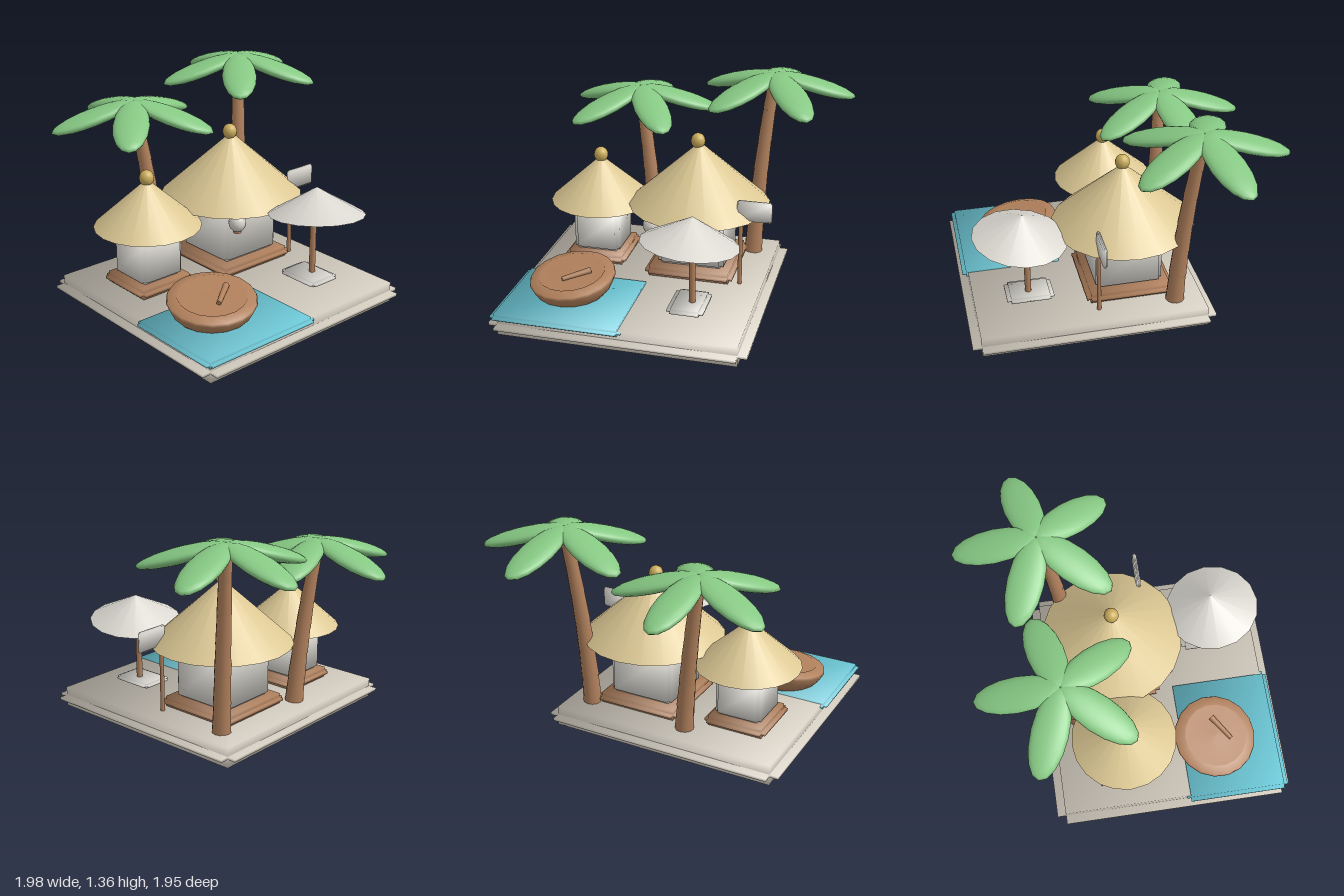
import * as THREE from 'three';

const material = (name, color) => {
  const m = new THREE.MeshStandardMaterial({ color });
  m.name = name;
  return m;
};
const V = (x, y, z) => new THREE.Vector3(x, y, z);

export function createModel() {
  const sand = material('sand', 0xd6cfc2);
  const white = material('plaster white', 0xdad7d0);
  const wood = material('wood', 0xb0805c);
  const thatch = material('thatch', 0xdcc894);
  const gold = material('finial gold', 0xcbad5c);
  const leaf = material('leaf green', 0x86c883);
  const water = material('water blue', 0x6fcbda);

  const model = new THREE.Group();
  model.name = 'beachVillage';

  const add = (parent, name, geometry, mat, x = 0, y = 0, z = 0) => {
    const mesh = new THREE.Mesh(geometry, mat);
    mesh.name = name;
    mesh.position.set(x, y, z);
    parent.add(mesh);
    return mesh;
  };

  // Box whose normals fan out from its corners for soft shading
  const softBox = (w, h, d) => {
    const g = new THREE.BoxGeometry(w, h, d);
    const p = g.attributes.position, n = g.attributes.normal, k = 1 / Math.sqrt(3);
    for (let i = 0; i < p.count; i++) {
      n.setXYZ(i, k * Math.sign(p.getX(i)), k * Math.sign(p.getY(i)), k * Math.sign(p.getZ(i)));
    }
    return g;
  };

  // Block with notched edges: three crossing boxes, standing on y
  const notchedBlock = (parent, name, mat, [w, h, d], r, x, y, z) => {
    const g = new THREE.Group();
    g.name = name;
    g.position.set(x, y + h / 2, z);
    const band = Math.max(h - 2 * r, 0.012);
    add(g, name + 'Core', softBox(w - 2 * r, h, d - 2 * r), mat);
    add(g, name + 'Wide', softBox(w, band, d - 2 * r), mat);
    add(g, name + 'Deep', softBox(w - 2 * r, band * 0.98, d), mat);
    parent.add(g);
    return g;
  };

  // Tapered round bar between two points
  const bar = (parent, name, mat, a, b, ra, rb, sides = 12) => {
    const dir = b.clone().sub(a);
    const mesh = add(parent, name, new THREE.CylinderGeometry(rb, ra, dir.length(), sides), mat);
    mesh.position.copy(a).lerp(b, 0.5);
    mesh.quaternion.setFromUnitVectors(V(0, 1, 0), dir.normalize());
    return mesh;
  };

  const ellipsoid = (rx, ry, rz) => new THREE.SphereGeometry(1, 16, 10).scale(rx, ry, rz);

  // Ground and pool
  notchedBlock(model, 'ground', sand, [1.59, 0.13, 1.55], 0.056, -0.203, 0, 0.203);
  notchedBlock(model, 'pool', water, [0.82, 0.044, 0.67], 0.024, -0.57, 0.1, 0.625);

  // Huts
  const hut = (name, x, z, o) => {
    const g = new THREE.Group();
    g.name = name;
    notchedBlock(g, 'platform', wood, [o.deck, 0.07, o.deck], 0.026, x, 0.128, z);
    notchedBlock(g, 'walls', white, [o.wall, o.wallTop - 0.19, o.wall], 0.024, x, 0.19, z);
    const h = o.apex - o.eave;
    add(g, 'roof', new THREE.ConeGeometry(o.radius, h, 20), thatch, x + o.shift, o.eave + h / 2, z);
    add(g, 'finial', ellipsoid(0.046, 0.05, 0.046), gold, x, o.apex + 0.005, z);
    model.add(g);
  };
  hut('largeHut', 0.062, -0.063,
    { deck: 0.57, wall: 0.43, wallTop: 0.585, radius: 0.456, eave: 0.565, apex: 0.98, shift: 0.012 });
  hut('smallHut', -0.592, -0.08,
    { deck: 0.41, wall: 0.305, wallTop: 0.472, radius: 0.333, eave: 0.518, apex: 0.82, shift: 0 });

  // Lantern under the eave of the large hut
  const lantern = new THREE.Group();
  lantern.name = 'lantern';
  add(lantern, 'lanternGlobe', ellipsoid(0.055, 0.06, 0.055), white, -0.158, 0.52, 0.258);
  add(lantern, 'lanternCap', new THREE.CylinderGeometry(0.026, 0.026, 0.02, 12), wood, -0.158, 0.464, 0.258);
  model.add(lantern);

  // Palms: stacked trunk segments and five drooping fronds
  const palm = (name, base, mid, top, crown) => {
    const g = new THREE.Group();
    g.name = name;
    const path = new THREE.QuadraticBezierCurve3(base, mid, top);
    const count = 6;
    for (let i = 0; i < count; i++) {
      const r = 0.06 - 0.022 * (i / count);
      bar(g, 'trunkSegment', wood, path.getPoint(i / count), path.getPoint((i + 1) / count), r, r * 0.88);
    }
    for (let i = 0; i < 5; i++) {
      const geo = ellipsoid(0.278, 0.046, 0.113).translate(0.27, 0, 0);
      const frond = add(g, 'frond', geo, leaf, crown.x, crown.y, crown.z);
      frond.rotation.set(0, -THREE.MathUtils.degToRad(58 + 72 * i), -0.29);
    }
    model.add(g);
  };
  palm('leftPalm', V(-0.3, 0.13, -0.36), V(-0.33, 0.62, -0.38), V(-0.42, 1.16, -0.425), V(-0.42, 1.195, -0.425));
  palm('rightPalm', V(0.385, 0.13, -0.335), V(0.4, 0.7, -0.36), V(0.472, 1.31, -0.445), V(0.475, 1.342, -0.448));

  // Round boat, tipped a little on the water
  const boat = new THREE.Group();
  boat.name = 'boat';
  boat.position.set(-0.594, 0.243, 0.527);
  boat.rotation.set(0.13, 0, 0.08);
  const profile = [[0, -0.12], [0.19, -0.12], [0.245, -0.06], [0.27, -0.005], [0.264, 0.012],
    [0.208, 0.03], [0.203, 0.022], [0, 0.03]].map(([x, y]) => new THREE.Vector2(x, y));
  add(boat, 'hull', new THREE.LatheGeometry(profile, 18), wood);
  bar(boat, 'paddle', wood, V(-0.03, 0.038, 0.095), V(0.12, 0.038, -0.015), 0.014, 0.02);
  model.add(boat);

  // Tilted sunshade on a pole with a square foot
  const sunshade = new THREE.Group();
  sunshade.name = 'sunshade';
  const canopy = add(sunshade, 'canopy', new THREE.ConeGeometry(0.3, 0.17, 16), white, 0.182, 0.68, 0.602);
  canopy.rotation.set(-0.11, 0, -0.08);
  bar(sunshade, 'pole', wood, V(0.185, 0.13, 0.577), V(0.185, 0.7, 0.577), 0.02, 0.02);
  notchedBlock(sunshade, 'foot', white, [0.225, 0.035, 0.3], 0.025, 0.165, 0.16, 0.57);
  model.add(sunshade);

  // Signboard on a post
  const sign = new THREE.Group();
  sign.name = 'sign';
  bar(sign, 'signPost', wood, V(0.39, 0.13, 0.16), V(0.39, 0.6, 0.16), 0.014, 0.014);
  notchedBlock(sign, 'signBoard', white, [0.22, 0.135, 0.026], 0.008, 0.475, 0.568, 0.16);
  model.add(sign);

  return model;
}
